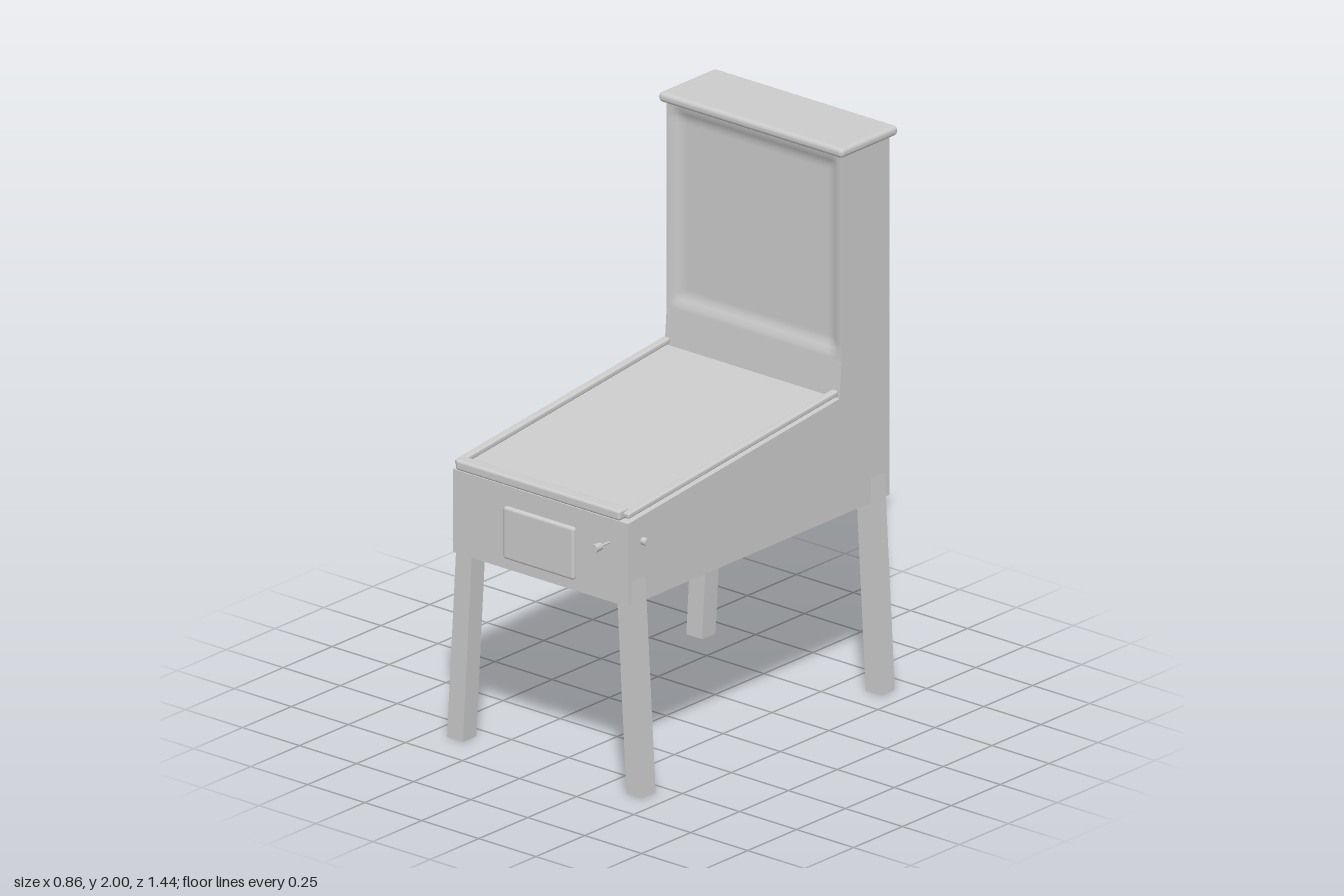
import * as THREE from 'three';
import { RoundedBoxGeometry } from 'three/addons/geometries/RoundedBoxGeometry.js';

const solid = new THREE.MeshStandardMaterial({ color: 0xcccccc });
const sheet = new THREE.MeshStandardMaterial({ color: 0xcccccc, side: THREE.DoubleSide });

const HALF = 0.383; // half width of the cabinet

// Side outline as [z, y], from the bottom front edge round to the bottom back edge
const outline = [
  [0.642, 0.68], [0.642, 0.977], [-0.44, 1.1], [-0.45, 1.23],
  [-0.45, 1.97], [-0.695, 1.97], [-0.695, 0.68],
];

function add(parent, name, geometry, position, material = solid) {
  const mesh = new THREE.Mesh(geometry, material);
  mesh.name = name;
  mesh.position.set(...position);
  parent.add(mesh);
  return mesh;
}

// Flat panel across the cabinet between two outline points
function panel([z0, y0], [z1, y1]) {
  const g = new THREE.BufferGeometry();
  g.setAttribute('position', new THREE.Float32BufferAttribute([
    -HALF, y0, z0, HALF, y0, z0, HALF, y1, z1, -HALF, y1, z1,
  ], 3));
  g.setIndex([0, 1, 2, 0, 2, 3]);
  g.computeVertexNormals();
  return g;
}

// Upright panel whose middle is softly recessed behind its edges
function recessedPanel(width, height, rim, bevel, depth) {
  const g = new THREE.PlaneGeometry(width, height, 40, 40);
  const p = g.attributes.position;
  for (let i = 0; i < p.count; i++) {
    const edge = Math.min(width / 2 - Math.abs(p.getX(i)), height / 2 - Math.abs(p.getY(i)));
    p.setZ(i, -depth * THREE.MathUtils.smoothstep(edge, rim, rim + bevel));
  }
  g.computeVertexNormals();
  return g;
}

// Square open tube that leans outward toward the floor
function legGeometry(side) {
  const size = 0.069, height = 0.83;
  const g = new THREE.CylinderGeometry(size / Math.SQRT2, size / Math.SQRT2, height, 4, 1, true)
    .rotateY(Math.PI / 4).translate(0, height / 2, 0).toNonIndexed();
  const p = g.attributes.position;
  for (let i = 0; i < p.count; i++) {
    p.setX(i, p.getX(i) + side * (0.393 - 0.058 * p.getY(i)));
  }
  g.computeVertexNormals();
  return g;
}

export function createModel() {
  const model = new THREE.Group();
  model.name = 'arcadeTable';

  // Hollow cabinet, open underneath
  const cabinet = new THREE.Group();
  cabinet.name = 'cabinet';
  model.add(cabinet);
  const names = ['frontWall', 'playfield', 'lowerBackboxPanel', null, 'backboxTop', 'backWall'];
  names.forEach((name, i) => {
    if (name) add(cabinet, name, panel(outline[i], outline[i + 1]), [0, 0, 0], sheet);
  });
  const sideShape = new THREE.Shape(outline.map(([z, y]) => new THREE.Vector2(-z, y)));
  for (const side of [-1, 1]) {
    const g = new THREE.ShapeGeometry(sideShape).rotateY(Math.PI / 2);
    add(cabinet, side > 0 ? 'leftWall' : 'rightWall', g, [side * HALF, 0, 0], sheet);
  }
  add(cabinet, 'displayPanel', recessedPanel(HALF * 2, 0.74, 0.012, 0.045, 0.018), [0, 1.6, -0.45], sheet);

  // Cap over the backbox
  add(model, 'topCap', new RoundedBoxGeometry(0.806, 0.035, 0.292, 4, 0.015), [0, 1.9825, -0.574]);

  // Rails, side buttons and legs, mirrored
  const rise = 0.12, run = 1.075;
  for (const side of [-1, 1]) {
    const label = side > 0 ? 'left' : 'right';
    const rail = add(model, label + 'Rail',
      new RoundedBoxGeometry(0.028, 0.021, Math.hypot(rise, run), 3, 0.007), [side * 0.368, 1.061, 0.1]);
    rail.rotation.x = Math.atan2(rise, run);

    const button = add(model, label + 'Button',
      new THREE.CylinderGeometry(0.013, 0.013, 0.03, 20), [side * 0.389, 0.895, 0.567]);
    button.rotation.z = Math.PI / 2;

    for (const [end, z] of [['Front', 0.587], ['Back', -0.637]]) {
      add(model, label + end + 'Leg', legGeometry(side), [0, 0, z], sheet);
    }
  }

  // Lock bar across the front edge
  add(model, 'lockBar', new RoundedBoxGeometry(0.72, 0.037, 0.049, 4, 0.01), [0, 1.004, 0.636]);

  // Coin door
  add(model, 'coinDoor', new RoundedBoxGeometry(0.31, 0.187, 0.03, 3, 0.01), [0, 0.813, 0.641]);

  // Plunger
  const plunger = new THREE.Group();
  plunger.name = 'plunger';
  plunger.position.set(0.299, 0.89, 0);
  model.add(plunger);
  const rod = add(plunger, 'plungerRod', new THREE.CylinderGeometry(0.004, 0.004, 0.07, 12), [0, 0, 0.665]);
  const knob = add(plunger, 'plungerKnob', new THREE.CylinderGeometry(0.016, 0.013, 0.034, 20), [0, 0, 0.703]);
  rod.rotation.x = knob.rotation.x = Math.PI / 2;

  return model;
}
